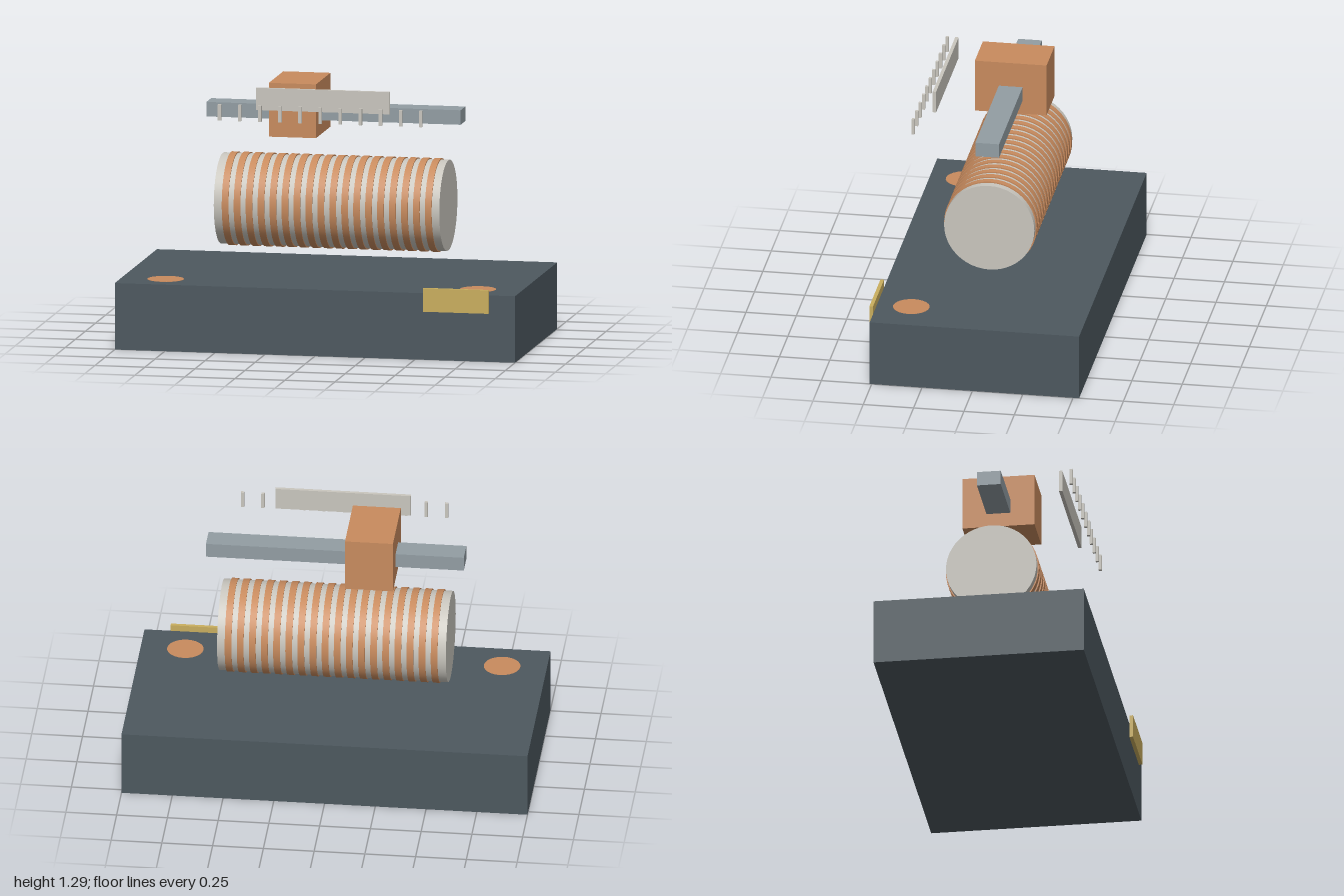
import * as THREE from 'three';

const mat = (name, color) => {
  const m = new THREE.MeshStandardMaterial({ color });
  m.name = name;
  return m;
};

export function createModel() {
  const model = new THREE.Group();
  model.name = 'slidingCoilTuner';

  const slate = mat('slate', 0x4d585f);
  const copper = mat('copper', 0xc88b5e);
  const steel = mat('steel', 0x929da3);
  const ivory = mat('ivory', 0xc9c6be);
  const brass = mat('brass', 0xc9ae5e);

  // Box given by its lower and upper limits on each axis
  const box = (name, material, [x0, x1], [y0, y1], [z0, z1]) => {
    const mesh = new THREE.Mesh(new THREE.BoxGeometry(x1 - x0, y1 - y0, z1 - z0), material);
    mesh.position.set((x0 + x1) / 2, (y0 + y1) / 2, (z0 + z1) / 2);
    mesh.name = name;
    model.add(mesh);
  };

  // Cylinder lying along x on the coil axis
  const drum = (name, material, radius, length, x) => {
    const geometry = new THREE.CylinderGeometry(radius, radius, length, 48).rotateZ(Math.PI / 2);
    const mesh = new THREE.Mesh(geometry, material);
    mesh.position.set(x, 0.683, -0.01);
    mesh.name = name;
    model.add(mesh);
  };

  // Base and front plate
  box('base', slate, [-1, 1], [0, 0.33], [-0.53, 0.51]);
  box('namePlate', brass, [0.545, 0.872], [0.242, 0.358], [0.515, 0.533]);

  // Terminals let into the base, almost flush with its top
  for (const side of [-1, 1]) {
    const terminal = new THREE.Mesh(new THREE.CylinderGeometry(0.09, 0.09, 0.06, 24), copper);
    terminal.position.set(side * 0.78, 0.301, 0.34);
    terminal.name = side < 0 ? 'rightTerminal' : 'leftTerminal';
    model.add(terminal);
  }

  // Coil former with its copper windings
  drum('coilFormer', ivory, 0.224, 1.127, -0.002);
  const turns = 18;
  for (let i = 0; i < turns; i++) {
    drum('winding', copper, 0.23, 0.033, -0.508 + (i * 1.015) / (turns - 1));
  }

  // Slide rail and sliding contact block
  box('slideRail', steel, [-0.636, 0.634], [1.094, 1.166], [-0.071, 0.047]);
  box('slider', copper, [-0.3, -0.064], [1.024, 1.291], [-0.19, 0.166]);

  // Scale strip and the row of tick marks in front of it
  box('scaleStrip', ivory, [-0.335, 0.332], [1.178, 1.288], [0.292, 0.309]);
  for (let i = 0; i < 11; i++) {
    const x = -0.503 + i * 0.1005;
    box('tickMark', ivory, [x - 0.008, x + 0.008], [1.132, 1.212], [0.369, 0.384]);
  }

  return model;
}
